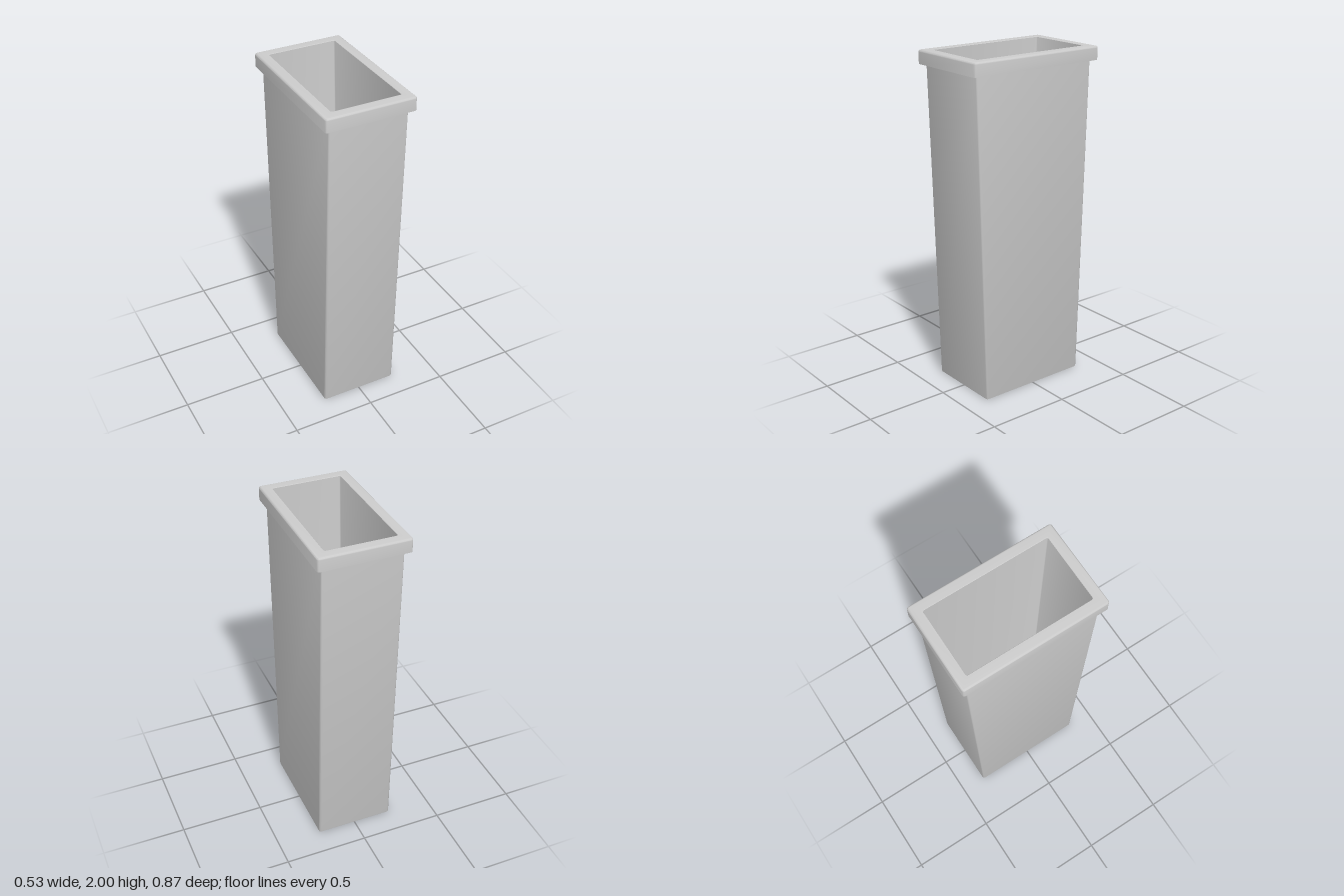
import * as THREE from 'three';
import { toCreasedNormals } from 'three/addons/utils/BufferGeometryUtils.js';

const CORNER_STEPS = 4;

// Rounded rectangle in the xz plane, running from +x towards +z
function ring([y, hx, hz, r]) {
  const points = [];
  [[1, 1], [-1, 1], [-1, -1], [1, -1]].forEach(([sx, sz], q) => {
    for (let i = 0; i <= CORNER_STEPS; i++) {
      const a = (q + i / CORNER_STEPS) * Math.PI / 2;
      points.push(new THREE.Vector3(sx * (hx - r) + r * Math.cos(a), y, sz * (hz - r) + r * Math.sin(a)));
    }
  });
  return points;
}

// Skin over successive sections [y, half width, half depth, corner radius]
function loft(name, sections, material) {
  const rings = sections.map(ring);
  const positions = [];
  const add = (...tri) => {
    if (new THREE.Triangle(...tri).getArea() > 1e-9) tri.forEach((p) => positions.push(p.x, p.y, p.z));
  };
  for (let i = 0; i < rings.length - 1; i++) {
    const lower = rings[i], upper = rings[i + 1], n = lower.length;
    for (let j = 0; j < n; j++) {
      const k = (j + 1) % n;
      add(lower[j], upper[j], lower[k]);
      add(lower[k], upper[j], upper[k]);
    }
  }
  const geometry = new THREE.BufferGeometry();
  geometry.setAttribute('position', new THREE.Float32BufferAttribute(positions, 3));
  const mesh = new THREE.Mesh(toCreasedNormals(geometry, 0.6), material);
  mesh.name = name;
  return mesh;
}

export function createModel() {
  const group = new THREE.Group();
  group.name = 'slimBin';
  const material = new THREE.MeshStandardMaterial({ color: 0xcccccc });

  // Outer shell: closed base with a small bevel, sides tapering in depth only
  group.add(loft('outerShell', [
    [0, 0, 0, 0],
    [0, 0.23, 0.344, 0.01],
    [0.002, 0.234, 0.348, 0.012],
    [0.008, 0.236, 0.35, 0.014],
    [1.92, 0.236, 0.405, 0.014],
  ], material));

  // Overhanging rim with a softened top edge
  const r = 0.012;
  const rim = [[1.92, 0.236, 0.405, 0.014], [1.92, 0.267, 0.436, 0.015]];
  for (let i = 0; i <= 4; i++) {
    const a = (i / 4) * Math.PI / 2, inset = r * (1 - Math.cos(a));
    rim.push([2 - r + r * Math.sin(a), 0.267 - inset, 0.436 - inset, 0.015 - inset]);
  }
  rim.push([2, 0.207, 0.377, 0.012], [1.998, 0.205, 0.375, 0.01]);
  group.add(loft('rim', rim, material));

  // Inner walls and floor
  group.add(loft('innerShell', [
    [1.998, 0.205, 0.375, 0.01],
    [0.03, 0.205, 0.323, 0.01],
    [0.03, 0, 0, 0],
  ], material));

  return group;
}
